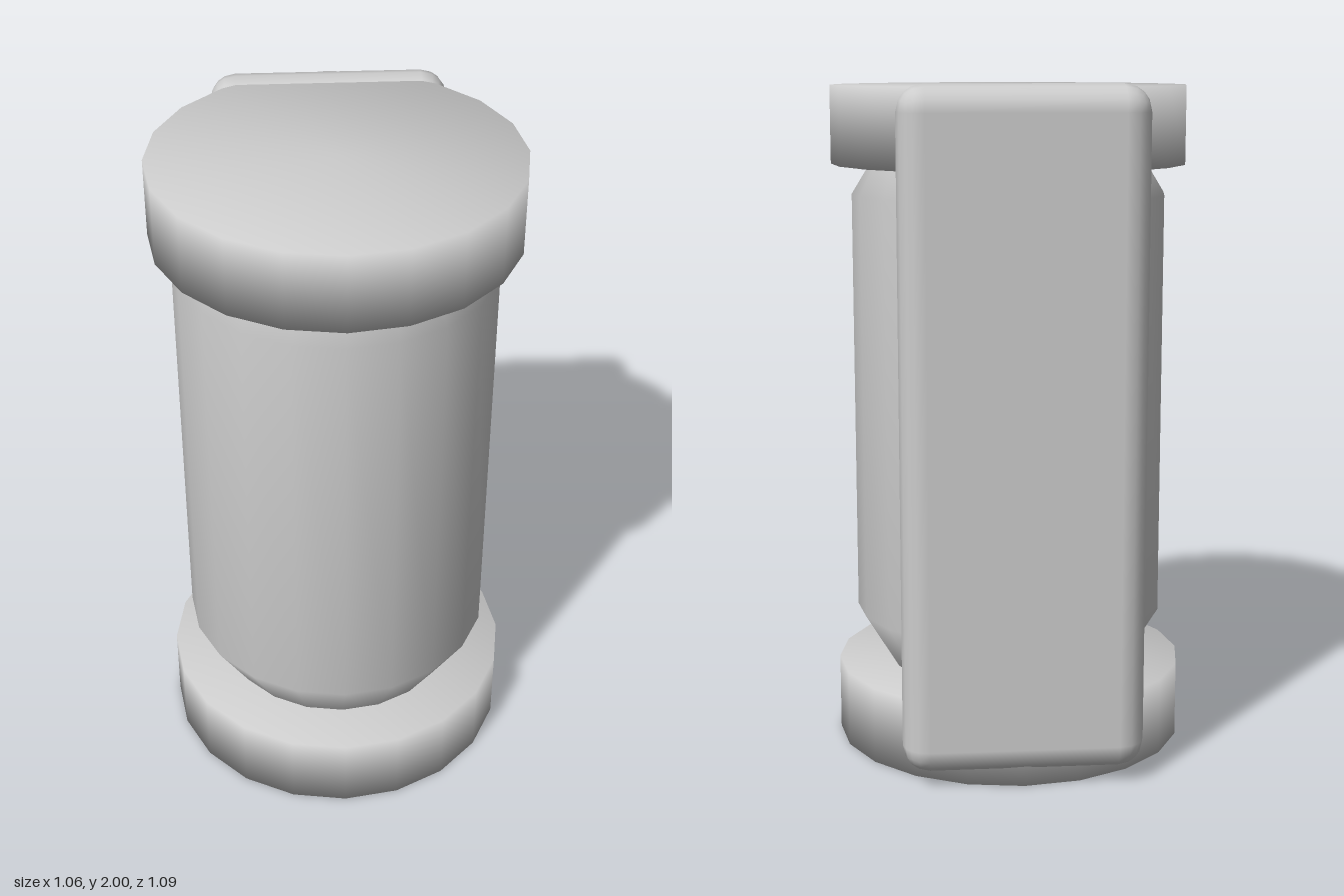
import * as THREE from 'three';
import { RoundedBoxGeometry } from 'three/addons/geometries/RoundedBoxGeometry.js';

const SIDES = 20;
const CENTER_Z = 0.015;

export function createModel() {
  const group = new THREE.Group();
  const grey = new THREE.MeshStandardMaterial({ color: 0xcccccc });
  grey.name = 'light grey';

  const add = (name, geometry, y, z) => {
    const mesh = new THREE.Mesh(geometry, grey);
    mesh.name = name;
    mesh.position.set(0, y, z);
    group.add(mesh);
  };

  // Turned solid from [radius, height] points, bottom to top, softly shaded
  const turned = (profile) =>
    new THREE.LatheGeometry(profile.map(([r, y]) => new THREE.Vector2(r, y)), SIDES);

  // Wide discs closing the canister at both ends
  const disc = (height) => turned([[0, 0], [0.53, 0], [0.53, height], [0, height]]);
  add('bottomDisc', disc(0.23), 0, CENTER_Z);
  add('topDisc', disc(0.23), 1.76, CENTER_Z);

  // Canister body, tapering into the discs
  add('body', turned([
    [0, 0.17], [0.33, 0.17], [0.47, 0.4], [0.47, 1.67], [0.36, 1.85], [0, 1.85],
  ]), 0, CENTER_Z);

  // Rounded plate along the back
  add('backPlate', new RoundedBoxGeometry(0.7, 1.955, 0.155, 2, 0.077), 1.0225, -0.4715);

  return group;
}
